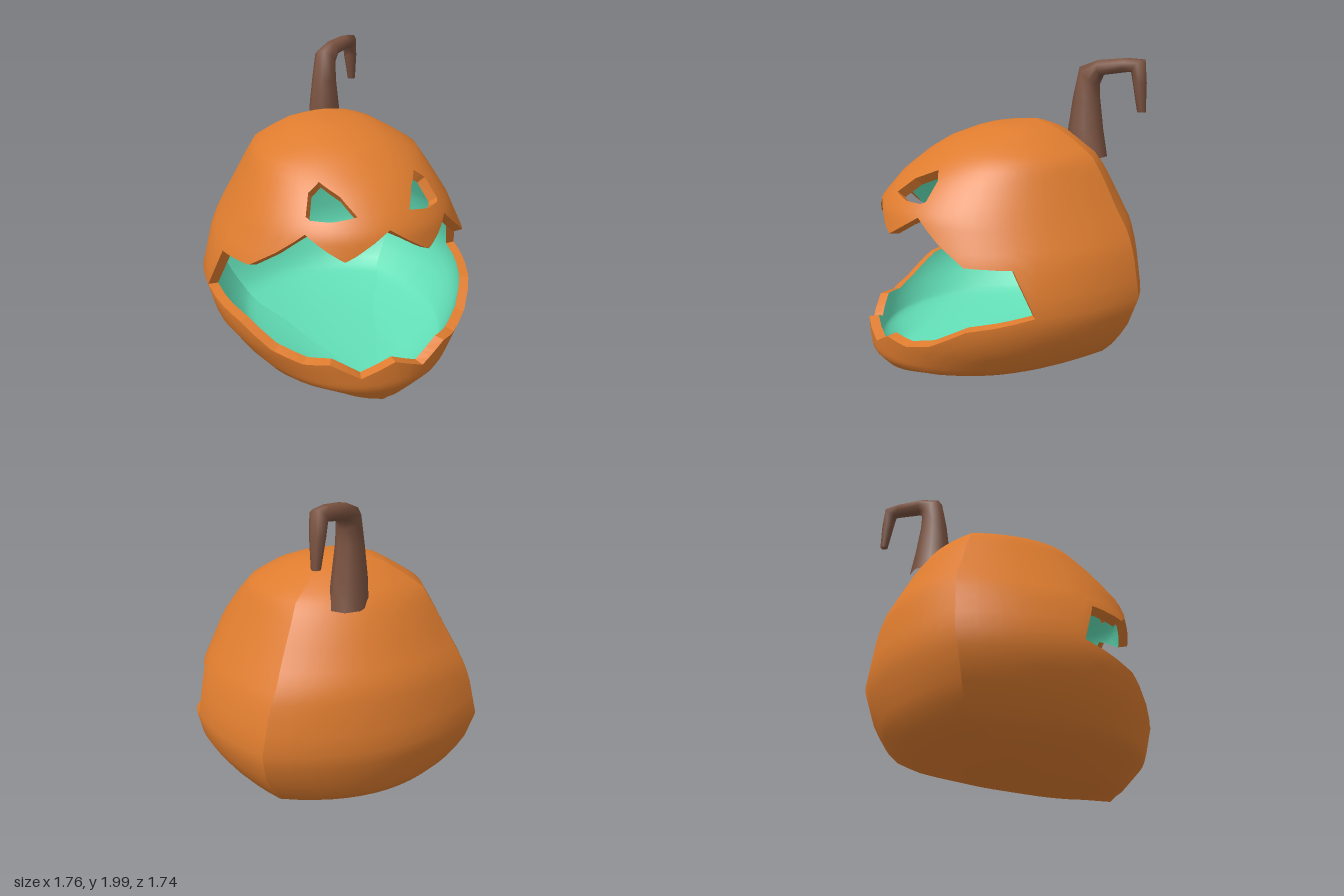
import * as THREE from 'three';

// Body levels from top to bottom: height, half width, front z, back z
const LEVELS = [
  [1.61, 0, -0.22, -0.22], [1.59, 0.17, 0.04, -0.3], [1.56, 0.27, 0.16, -0.38],
  [1.5, 0.38, 0.33, -0.48], [1.42, 0.51, 0.46, -0.58], [1.3, 0.58, 0.62, -0.66],
  [1.14, 0.67, 0.76, -0.74], [1.0, 0.745, 0.79, -0.81], [0.88, 0.81, 0.8, -0.835],
  [0.62, 0.88, 0.87, -0.867], [0.42, 0.83, 0.88, -0.807], [0.24, 0.7, 0.87, -0.72],
  [0.17, 0.62, 0.86, -0.56], [0.1, 0.43, 0.81, -0.3], [0.05, 0.27, 0.77, 0.1],
  [0.03, 0.15, 0.745, 0.33], [0, 0, 0.72, 0.72],
];
const LAST = LEVELS.length - 1;
const THICK = 0.062;

const level = (v) => {
  const i = Math.min(Math.floor(v), LAST - 1);
  return LEVELS[i].map((a, k) => a + (LEVELS[i + 1][k] - a) * (v - i));
};
const levelAt = (y) => {
  let i = 0;
  while (i < LAST - 1 && LEVELS[i + 1][0] > y) i++;
  return i + (LEVELS[i][0] - y) / (LEVELS[i][0] - LEVELS[i + 1][0]);
};

// Plan outline: round front, gently bowed sides and back meeting at a corner
function outline(t) {
  if (t < 0 || t > 180) {
    const [x, z] = outline(t < 0 ? -t : 360 - t);
    return [-x, z];
  }
  if (t <= 90) return [Math.sin(t * Math.PI / 180), Math.cos(t * Math.PI / 180)];
  const w = t <= 135 ? (t - 90) / 45 : (180 - t) / 45;
  return t <= 135 ? [1 - 0.205 * w * w, -0.78 * w] : [0.795 * w, -1 + 0.22 * w * w];
}
function surface(t, v) {
  const [y, hw, zf, zb] = level(v), [x, z] = outline(t);
  return new THREE.Vector3(x * hw, y, (zf + zb) / 2 + z * (zf - zb) / 2);
}
function normal(t, v, lo, hi) {
  if (v < 0.02) return new THREE.Vector3(0, 1, 0);
  if (v > LAST - 0.02) return new THREE.Vector3(0, -0.86, 0.5);
  const dv = surface(t, Math.min(v + 0.5, LAST)).sub(surface(t, Math.max(v - 0.5, 0)));
  const dt = surface(Math.min(t + 5, hi), v).sub(surface(Math.max(t - 5, lo), v));
  return dv.cross(dt).normalize();
}

// Carved edges, given as x, y on the front and turned into angle, level
const edge = (pts) => pts.map(([x, y]) => {
  const v = levelAt(y);
  return [Math.asin(Math.min(1, x / level(v)[1])) * 180 / Math.PI, v];
});
const mouthTop = edge([[0, 1.14], [0.26, 0.98], [0.44, 1.115], [0.71, 0.885], [0.8, 0.88], [0.88, 0.62]]);
const mouthLow = edge([[0, 0.36], [0.2, 0.272], [0.37, 0.37], [0.5, 0.35], [0.635, 0.4], [0.78, 0.53], [0.845, 0.57], [0.88, 0.62]]);
const eyeTop = edge([[0.16, 1.21], [0.22, 1.3], [0.3, 1.36], [0.37, 1.31], [0.415, 1.2]]);
const eyeLow = edge([[0.16, 1.21], [0.3, 1.185], [0.4, 1.185], [0.415, 1.2]]);

function at(poly, t) {
  const a = Math.abs(t > 180 ? 360 - t : t);
  if (a <= poly[0][0]) return poly[0][1];
  for (let i = 1; i < poly.length; i++) {
    const [p, q] = [poly[i - 1], poly[i]];
    if (a <= q[0]) return p[1] + (q[1] - p[1]) * (a - p[0]) / (q[0] - p[0]);
  }
  return poly[poly.length - 1][1];
}

// Three bands of skin: above the eyes, eyes to mouth, below the mouth
const BANDS = [
  [() => 0, (t) => at(eyeTop, t), 14],
  [(t) => at(eyeLow, t), (t) => at(mouthTop, t), 8],
  [(t) => at(mouthLow, t), () => LAST, 16],
];

function shell(cols, inner) {
  const pos = [], nor = [], idx = [], lo = cols[0], hi = cols[cols.length - 1];
  for (const [top, low, rows] of BANDS) {
    const base = pos.length / 3;
    cols.forEach((t, i) => {
      for (let j = 0; j <= rows; j++) {
        const v = top(t) + (low(t) - top(t)) * j / rows;
        const n = normal(t, v, lo, hi), p = surface(t, v);
        if (inner) { p.addScaledVector(n, -THICK); n.negate(); }
        pos.push(p.x, p.y, p.z);
        nor.push(n.x, n.y, n.z);
        if (i && j) {
          const d = base + i * (rows + 1) + j, c = d - 1, b = d - rows - 1, a = b - 1;
          if (inner) idx.push(a, c, b, b, c, d);
          else idx.push(a, b, c, b, d, c);
        }
      }
    });
  }
  const g = new THREE.BufferGeometry();
  g.setAttribute('position', new THREE.Float32BufferAttribute(pos, 3));
  g.setAttribute('normal', new THREE.Float32BufferAttribute(nor, 3));
  g.setIndex(idx);
  return g;
}

// Cut face joining outer and inner skin along a carved edge
function rim(cols, poly, facesDown) {
  const pos = [];
  const pair = (t) => {
    const v = at(poly, t), o = surface(t, v);
    return [o, o.clone().addScaledVector(normal(t, v, -135, 135), -THICK)];
  };
  for (let i = 1; i < cols.length; i++) {
    const [a, b] = pair(cols[i - 1]), [c, d] = pair(cols[i]);
    const tris = facesDown ? [a, b, c, c, b, d] : [a, c, b, c, d, b];
    tris.forEach((p) => pos.push(p.x, p.y, p.z));
  }
  const g = new THREE.BufferGeometry();
  g.setAttribute('position', new THREE.Float32BufferAttribute(pos, 3));
  g.computeVertexNormals();
  return g;
}

// Hooked stem lofted through rings: reach, height, turn, radius in plane, radius across
function stemGeometry() {
  const rings = [
    [0.04, 1.38, 0, 0.14, 0.11], [0.03, 1.55, 0, 0.115, 0.1], [0.03, 1.74, 0, 0.088, 0.08],
    [0.05, 1.88, 40, 0.085, 0.07], [0.13, 1.93, 80, 0.05, 0.06], [0.3, 1.95, 88, 0.045, 0.055],
    [0.385, 1.95, 135, 0.055, 0.05], [0.4, 1.85, 180, 0.04, 0.045],
    [0.42, 1.68, 180, 0.026, 0.026], [0.42, 1.68, 180, 0, 0],
  ];
  const N = 8, pos = [], idx = [];
  const d = new THREE.Vector3(0.78, 0, -0.62), s = new THREE.Vector3(-0.62, 0, -0.78);
  rings.forEach(([reach, y, turn, r1, r2], k) => {
    const a = turn * Math.PI / 180;
    const m = d.clone().multiplyScalar(Math.cos(a));
    m.y -= Math.sin(a);
    for (let i = 0; i < N; i++) {
      const f = (i + 0.5) / N * Math.PI * 2;
      const p = new THREE.Vector3(0.08, y, -0.5).addScaledVector(d, reach)
        .addScaledVector(m, Math.cos(f) * r1).addScaledVector(s, Math.sin(f) * r2);
      pos.push(p.x, p.y, p.z);
      if (k) {
        const i2 = (i + 1) % N, b = (k - 1) * N, c = k * N;
        idx.push(b + i, b + i2, c + i, b + i2, c + i2, c + i);
      }
    }
  });
  const g = new THREE.BufferGeometry();
  g.setAttribute('position', new THREE.Float32BufferAttribute(pos, 3));
  g.setIndex(idx);
  g.computeVertexNormals();
  return g;
}

export function createModel() {
  const mat = (name, color) => Object.assign(new THREE.MeshStandardMaterial({ color }), { name });
  const orange = mat('orange skin', 0xde7c2f);
  const teal = mat('teal inside', 0x62deb6);
  const brown = mat('brown stem', 0x7a5240);
  const model = new THREE.Group();
  model.name = 'carvedPumpkin';
  const add = (name, geometry, material) => {
    const mesh = new THREE.Mesh(geometry, material);
    mesh.name = name;
    model.add(mesh);
  };

  // Columns pass through every corner of the carved edges
  const half = [mouthTop, mouthLow, eyeTop, eyeLow].flat().map((p) => p[0]);
  for (let t = 0; t <= 135; t += 7.5) half.push(t);
  const front = [...new Set(half.flatMap((t) => [t, t === 0 ? 0 : -t]))].sort((a, b) => a - b);
  const back = Array.from({ length: 13 }, (_, i) => 135 + i * 7.5);

  add('frontSkin', shell(front, false), orange);
  add('backSkin', shell(back, false), orange);
  add('insideWall', shell(front, true), teal);
  add('insideBackWall', shell(back, true), teal);

  // Mouth and eye rims
  const mouthCols = front.filter((t) => Math.abs(t) <= 90);
  add('upperMouthRim', rim(mouthCols, mouthTop, true), orange);
  add('lowerMouthRim', rim(mouthCols, mouthLow, false), orange);
  const e0 = eyeTop[0][0], e1 = eyeTop[eyeTop.length - 1][0];
  for (const [side, sign] of [['left', 1], ['right', -1]]) {
    const cols = front.filter((t) => t * sign >= e0 && t * sign <= e1);
    add(side + 'EyeUpperRim', rim(cols, eyeTop, true), orange);
    add(side + 'EyeLowerRim', rim(cols, eyeLow, false), orange);
  }

  add('stem', stemGeometry(), brown);
  return model;
}
